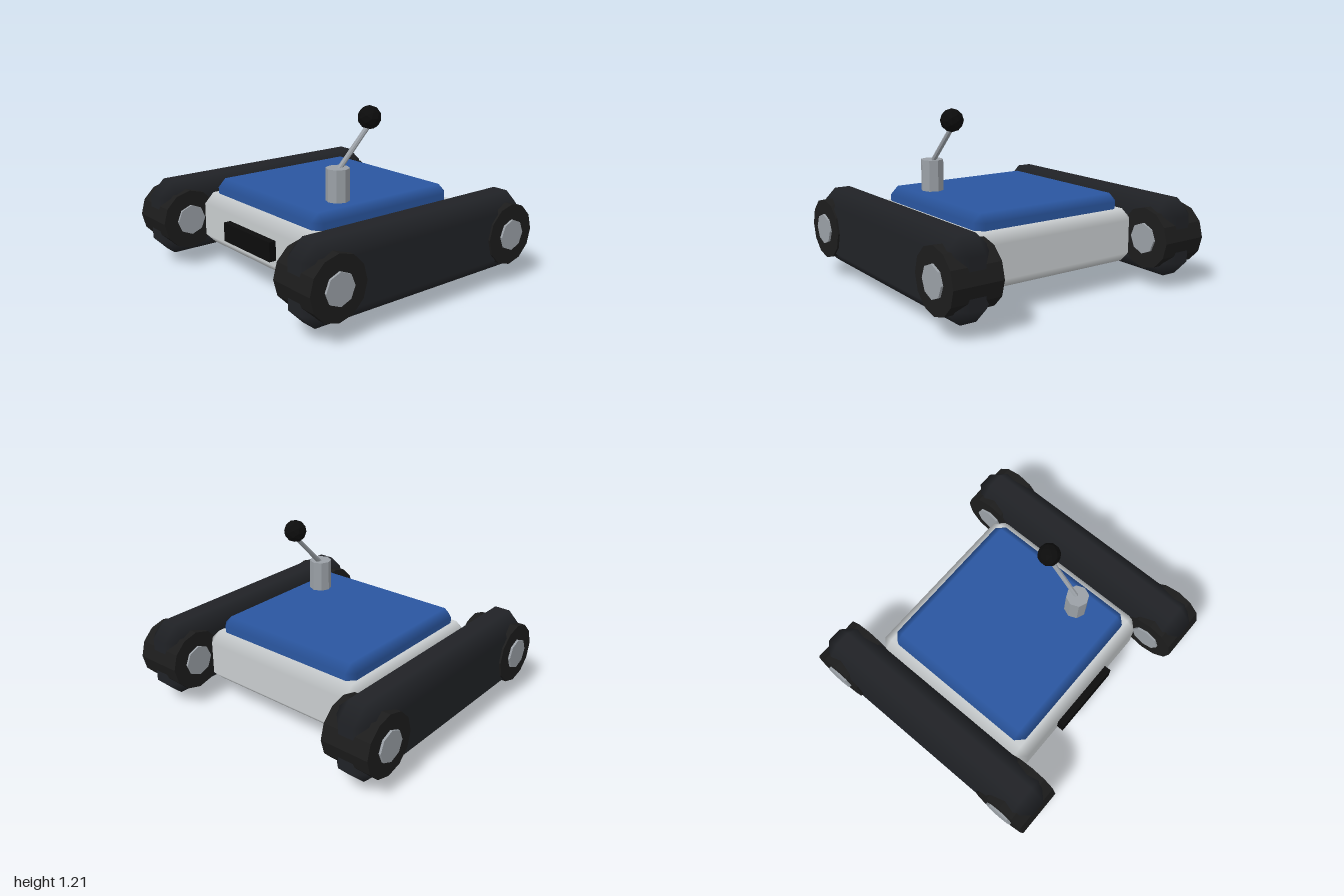
import * as THREE from 'three';
import { ConvexGeometry } from 'three/addons/geometries/ConvexGeometry.js';

const paint = (color, flatShading = false) => new THREE.MeshStandardMaterial({ color, flatShading });

// Box with every edge cut by c; broad faces stay flat, cut edges blend between them
function chamferBox(w, h, d, c) {
  const half = [w / 2, h / 2, d / 2];
  const points = [];
  for (const sx of [-1, 1]) for (const sy of [-1, 1]) for (const sz of [-1, 1]) {
    const s = [sx, sy, sz];
    for (let face = 0; face < 3; face++) {
      points.push(new THREE.Vector3(...s.map((v, i) => v * (half[i] - (i === face ? 0 : c)))));
    }
  }
  const geo = new ConvexGeometry(points);
  const pos = geo.attributes.position, normal = geo.attributes.normal;
  for (let i = 0; i < pos.count; i++) {
    const p = [pos.getX(i), pos.getY(i), pos.getZ(i)];
    normal.setXYZ(i, ...p.map((v, k) => (Math.abs(v) > half[k] - c / 2 ? Math.sign(v) : 0)));
  }
  return geo;
}

export function createModel() {
  const model = new THREE.Group();
  const add = (name, geo, mat, x, y, z, parent = model) => {
    const mesh = new THREE.Mesh(geo, mat);
    mesh.name = name;
    mesh.position.set(x, y, z);
    parent.add(mesh);
    return mesh;
  };

  const shell = paint(0xc8ccce), blue = paint(0x2a56a0), black = paint(0x0c0c0c);
  const metal = paint(0x9aa0a6), metalFlat = paint(0x9aa0a6, true);
  const rubber = paint(0x202226), tyre = paint(0x1c1c1c, true), dark = paint(0x3a3d42);

  // Hull, lid and front panel
  add('body', chamferBox(1.31, 0.365, 1.31, 0.07), shell, 0, 0.346, 0);
  add('lid', chamferBox(1.156, 0.152, 1.156, 0.055), blue, 0, 0.556, 0);
  add('frontPanel', new THREE.BoxGeometry(0.525, 0.13, 0.09), black, 0, 0.345, 0.66);

  // Tracks with a wheel and hub at each end
  const trackGeo = chamferBox(0.32, 0.525, 1.85, 0.105);
  const wheelGeo = new THREE.CylinderGeometry(0.208, 0.208, 0.34, 12).rotateZ(Math.PI / 2);
  const hubGeo = new THREE.CylinderGeometry(0.105, 0.105, 0.37, 8).rotateZ(Math.PI / 2);
  for (const side of [-1, 1]) {
    const unit = new THREE.Group();
    unit.name = side > 0 ? 'leftTrackUnit' : 'rightTrackUnit';
    model.add(unit);
    add('track', trackGeo, rubber, side * 0.812, 0.347, 0, unit);
    for (const end of [-1, 1]) {
      add('wheel', wheelGeo, tyre, side * 0.815, 0.345, end * 0.738, unit);
      add('hub', hubGeo, metalFlat, side * 0.815, 0.345, end * 0.738, unit);
    }
  }

  // Turntable and crossbar underneath
  const rim = [[0, 0.122], [0.26, 0.122], [0.29, 0.14], [0.31, 0.175]].map(p => new THREE.Vector2(...p));
  add('turntable', new THREE.LatheGeometry(rim, 24), dark, 0, 0, 0);
  add('crossbar', chamferBox(1.05, 0.16, 0.16, 0.028), metal, 0, 0.08, 0);

  // Control lever: post, slanted stick and knob
  add('leverPost', new THREE.CylinderGeometry(0.078, 0.078, 0.235, 8), metalFlat, 0.393, 0.7275, 0.262);
  const foot = new THREE.Vector3(0.393, 0.825, 0.26), tip = new THREE.Vector3(0.393, 1.1, -0.01);
  const along = tip.clone().sub(foot);
  const middle = foot.clone().add(tip).multiplyScalar(0.5);
  const stick = add('leverStick', new THREE.CylinderGeometry(0.017, 0.017, along.length(), 8), metalFlat, ...middle);
  stick.quaternion.setFromUnitVectors(new THREE.Vector3(0, 1, 0), along.normalize());
  add('leverKnob', new THREE.IcosahedronGeometry(0.078, 1), paint(0x0c0c0c, true), 0.393, 1.135, 0);

  return model;
}
